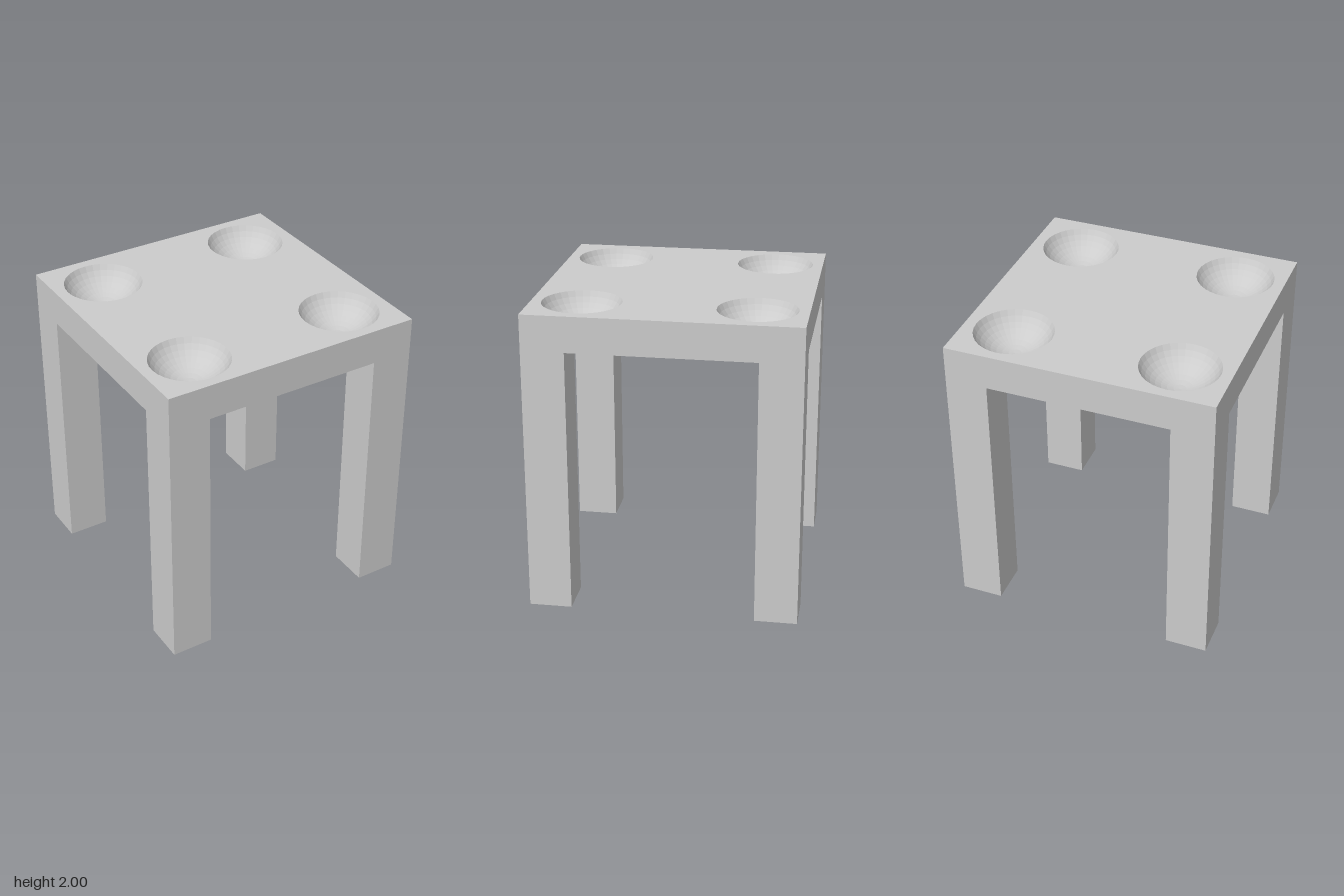
import * as THREE from 'three';

const H = 2;            // height
const W = 0.885;        // half width
const IN = 0.605;       // inner edge of the legs
const UNDER = 1.765;    // underside of the top
const LEG = W - IN;
const MID = (W + IN) / 2;
const BOWL_X = 0.552, BOWL_Z = 0.559, BOWL_R = 0.258;
const SPHERE_R = 0.283; // sphere that the bowls are cut from
const SEGMENTS = 32, RINGS = 8;

const material = new THREE.MeshStandardMaterial({
  color: 0xcccccc, flatShading: true, side: THREE.DoubleSide,
});

function addMesh(parent, name, geometry) {
  const mesh = new THREE.Mesh(geometry, material);
  mesh.name = name;
  parent.add(mesh);
  return mesh;
}

const polygon = (pairs) => new THREE.Shape(pairs.map(([x, y]) => new THREE.Vector2(x, y)));

function circle(cx, cy, r) {
  const points = [];
  for (let i = 0; i < SEGMENTS; i++) {
    const a = (i / SEGMENTS) * Math.PI * 2;
    points.push(new THREE.Vector2(cx + r * Math.cos(a), cy + r * Math.sin(a)));
  }
  return new THREE.Path().setFromPoints(points);
}

export function createModel() {
  const model = new THREE.Group();
  model.name = 'table';
  const corners = [[1, 1], [-1, 1], [-1, -1], [1, -1]];

  // Top surface with four round openings
  const top = polygon([[-W, -W], [W, -W], [W, W], [-W, W]]);
  corners.forEach(([sx, sz]) => top.holes.push(circle(sx * BOWL_X, sz * BOWL_Z, BOWL_R)));
  addMesh(model, 'tableTop', new THREE.ShapeGeometry(top).rotateX(-Math.PI / 2).translate(0, H, 0));

  // Shallow bowls, profiled from the rim down to the middle
  const rimAngle = Math.asin(BOWL_R / SPHERE_R);
  const centreY = SPHERE_R * Math.cos(rimAngle);
  const profile = [];
  for (let i = RINGS; i >= 0; i--) {
    const a = (rimAngle * i) / RINGS;
    profile.push(new THREE.Vector2(SPHERE_R * Math.sin(a), centreY - SPHERE_R * Math.cos(a)));
  }
  const bowl = new THREE.LatheGeometry(profile, SEGMENTS);
  corners.forEach(([sx, sz]) => {
    addMesh(model, 'bowl', bowl).position.set(sx * BOWL_X, H, sz * BOWL_Z);
  });

  // Underside, notched at the corners where the legs meet it
  const underside = polygon([
    [-IN, -W], [IN, -W], [IN, -IN], [W, -IN], [W, IN], [IN, IN],
    [IN, W], [-IN, W], [-IN, IN], [-W, IN], [-W, -IN], [-IN, -IN],
  ]);
  addMesh(model, 'underside', new THREE.ShapeGeometry(underside).rotateX(Math.PI / 2).translate(0, UNDER, 0));

  // Each side: an arch-shaped outer face and the inner faces and foot of one leg
  const arch = new THREE.ShapeGeometry(polygon([
    [-W, 0], [-IN, 0], [-IN, UNDER], [IN, UNDER], [IN, 0], [W, 0], [W, H], [-W, H],
  ])).translate(0, 0, W);
  const inner = new THREE.PlaneGeometry(LEG, UNDER);
  const innerBack = inner.clone().rotateY(Math.PI).translate(MID, UNDER / 2, IN);
  const innerSide = inner.clone().rotateY(-Math.PI / 2).translate(IN, UNDER / 2, MID);
  const foot = new THREE.PlaneGeometry(LEG, LEG).rotateX(Math.PI / 2).translate(MID, 0, MID);
  for (let i = 0; i < 4; i++) {
    const side = new THREE.Group();
    side.name = 'sideAndLeg';
    side.rotation.y = (i * Math.PI) / 2;
    addMesh(side, 'outerFace', arch);
    addMesh(side, 'legInnerBack', innerBack);
    addMesh(side, 'legInnerSide', innerSide);
    addMesh(side, 'foot', foot);
    model.add(side);
  }
  return model;
}
